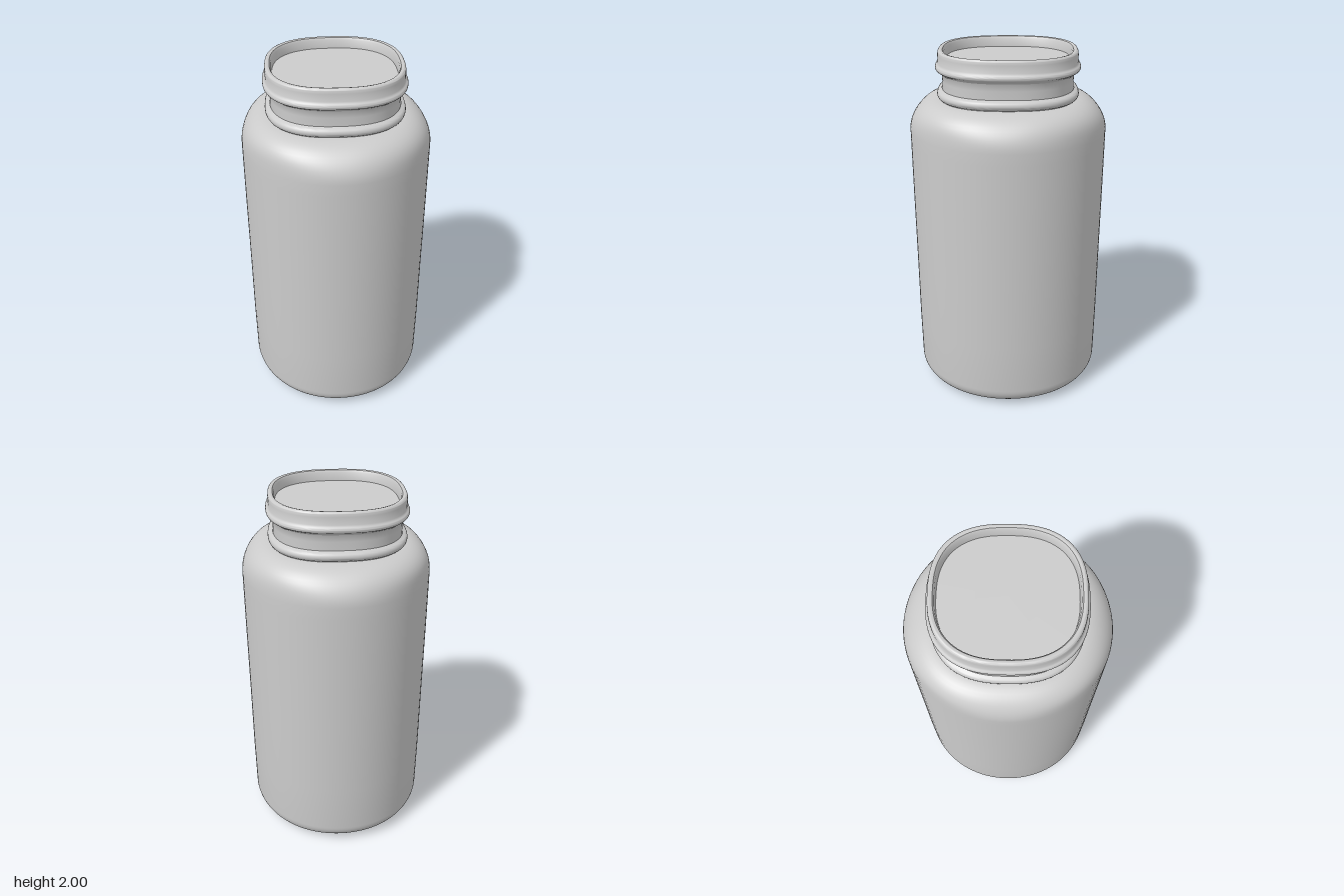
import * as THREE from 'three';
import { toCreasedNormals } from 'three/addons/utils/BufferGeometryUtils.js';

const material = new THREE.MeshStandardMaterial({ color: 0xcccccc });
const SEGMENTS = 96;

// Turns a [radius, height] profile, then squares the round section:
// a superellipse, slightly deeper than wide, squarer towards the neck.
function turnedPart(name, profile, crease = 0.7) {
  const points = profile.map(([r, y]) => new THREE.Vector2(r, y));
  const geometry = new THREE.LatheGeometry(points, SEGMENTS);
  const pos = geometry.attributes.position;
  for (let i = 0; i < pos.count; i++) {
    const x = pos.getX(i), y = pos.getY(i), z = pos.getZ(i);
    const r = Math.hypot(x, z);
    if (r < 1e-6) continue;
    const t = THREE.MathUtils.smoothstep(y, 1.58, 1.76);
    const n = 2.04 + 0.48 * t;
    const k = Math.pow(Math.abs(x / r) ** n + Math.abs(z / r) ** n, -1 / n);
    pos.setXYZ(i, x * k - 0.006 * t, y, z * k * (1.055 - 0.02 * t));
  }
  const mesh = new THREE.Mesh(toCreasedNormals(geometry, crease), material);
  mesh.name = name;
  return mesh;
}

// Points on a quarter ellipse, for rounded profile corners.
function corner(cx, cy, rx, ry, from, to, steps = 12) {
  return Array.from({ length: steps + 1 }, (_, i) => {
    const a = THREE.MathUtils.degToRad(from + ((to - from) * i) / steps);
    return [cx + rx * Math.cos(a), cy + ry * Math.sin(a)];
  });
}

export function createModel() {
  const jar = new THREE.Group();
  jar.name = 'jar';

  // Closed base, straight wall and rounded shoulder
  jar.add(turnedPart('body', [
    [0, 0.005], [0.2, 0.005], [0.36, 0.006],
    ...corner(0.4, 0.115, 0.112, 0.105, -90, 0),
    [0.515, 0.4], [0.515, 0.8], [0.516, 1.2], [0.516, 1.5],
    ...corner(0.355, 1.565, 0.161, 0.175, 0, 90),
    [0.33, 1.74],
  ]));

  // Bead at the foot of the neck
  jar.add(turnedPart('neckBead', [
    [0.355, 1.73], ...corner(0.353, 1.766, 0.021, 0.024, -80, 80, 8), [0.347, 1.795],
  ]));

  // Plain neck
  jar.add(turnedPart('neck', [
    [0.346, 1.73], [0.346, 1.79], [0.345, 1.84], [0.347, 1.875], [0.36, 1.895],
  ]));

  // Lip with a bead below, thin rim and recessed top
  jar.add(turnedPart('lip', [
    [0.346, 1.875], [0.358, 1.887],
    ...corner(0.362, 1.91, 0.018, 0.018, -70, 60, 8),
    [0.366, 1.935], [0.366, 1.975],
    ...corner(0.351, 1.985, 0.014, 0.015, 0, 90, 6),
    [0.34, 1.997], [0.333, 1.985], [0.329, 1.94],
  ]));
  jar.add(turnedPart('recessedTop', [[0.335, 1.94], [0.15, 1.94], [0, 1.94]]));

  return jar;
}
